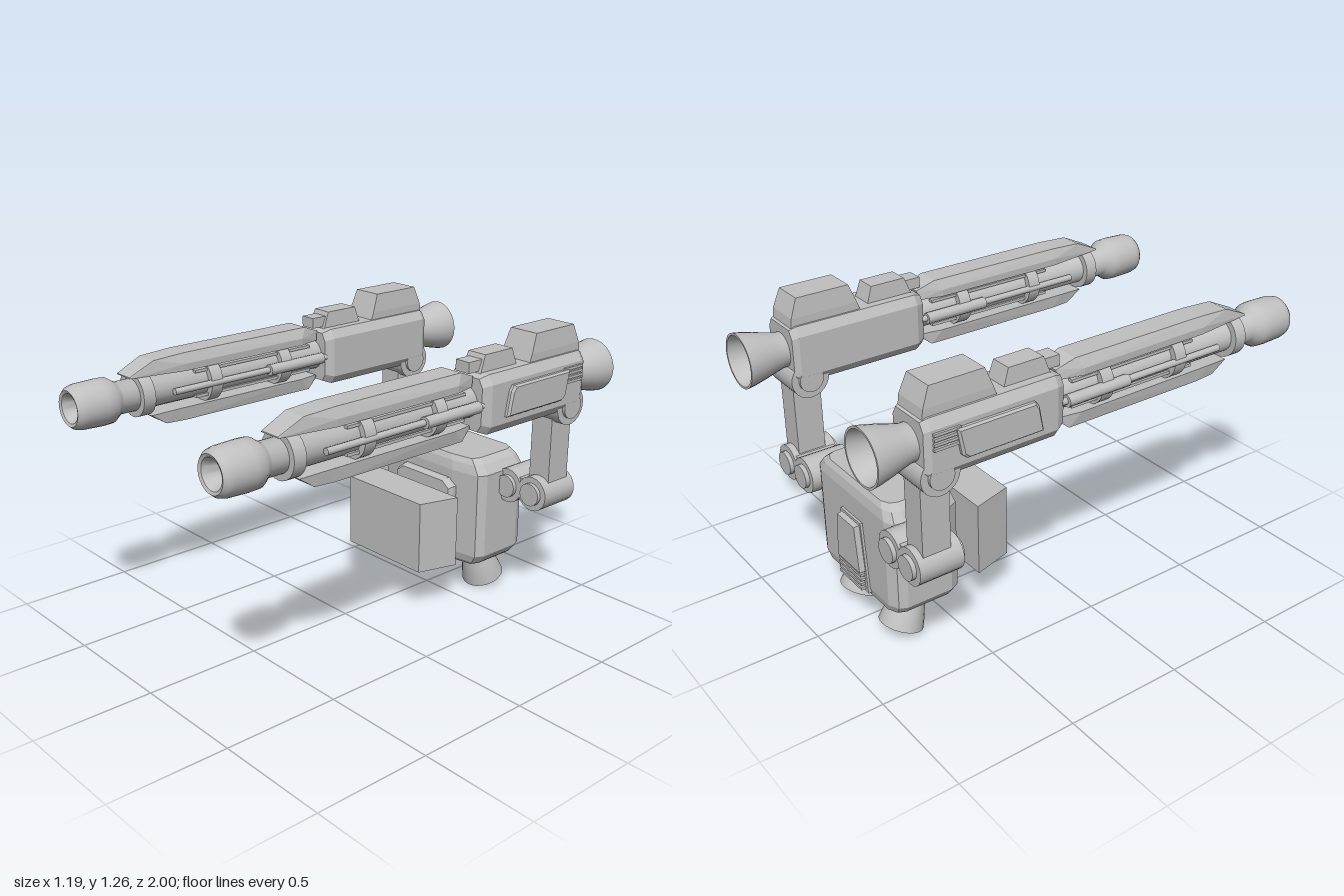
import * as THREE from 'three';
import { ConvexGeometry } from 'three/addons/geometries/ConvexGeometry.js';
import { toCreasedNormals } from 'three/addons/utils/BufferGeometryUtils.js';

const AXIS_Y = 1.046; // height of the gun axis
const GUN_X = 0.465;

export function createModel() {
  const model = new THREE.Group();
  const grey = new THREE.MeshStandardMaterial({ color: 0xc0c0c0 });
  grey.name = 'plain grey';

  function add(parent, name, geo, x = 0, y = 0, z = 0) {
    const mesh = new THREE.Mesh(geo, grey);
    mesh.name = name;
    mesh.position.set(x, y, z);
    parent.add(mesh);
    return mesh;
  }
  const box = (w, h, d) => new THREE.BoxGeometry(w, h, d);
  const hull = (pts) => new ConvexGeometry(pts.map((p) => new THREE.Vector3(...p)));
  // hull of points mirrored across x = 0
  const mirrorHull = (pts) => hull(pts.flatMap(([x, y, z]) => [[x, y, z], [-x, y, z]]));
  // turned part: profile of [radius, height]
  const turned = (pts, seg = 28) =>
    toCreasedNormals(new THREE.LatheGeometry(pts.map((p) => new THREE.Vector2(...p)), seg), 0.6);
  const cylZ = (r, len, seg = 24) => new THREE.CylinderGeometry(r, r, len, seg).rotateX(Math.PI / 2);
  const cylX = (r, len, seg = 24) => new THREE.CylinderGeometry(r, r, len, seg).rotateZ(Math.PI / 2);

  // ---- backpack ----
  const pack = new THREE.Group();
  pack.name = 'backpack';
  model.add(pack);
  const outline = [[0.24, -0.805], [0.285, -0.785], [0.3, -0.75], [0.3, -0.55], [0.28, -0.51], [0.15, -0.49]];
  const levels = [[0.17, 0.86, 0.88], [0.185, 0.92, 0.95], [0.22, 1, 1], [0.6, 1, 1], [0.64, 0.9, 0.95], [0.663, 0.8, 0.87]];
  add(pack, 'packBody', mirrorHull(levels.flatMap(([y, sx, sz]) =>
    outline.map(([x, z]) => [x * sx, y, -0.648 + (z + 0.648) * sz]))));

  const panel = [[0.13, 0.56], [0.17, 0.53], [0.17, 0.21], [0.13, 0.18]];
  add(pack, 'frontPanel', mirrorHull(panel.flatMap(([x, y]) =>
    [[x, y, -0.52], [x, y, -0.475], [x * 0.94, 0.37 + (y - 0.37) * 0.95, -0.455]])));

  // rear hatch with a louvred lower end
  add(pack, 'hatchFrame', mirrorHull([0.2, 0.51].flatMap((y) => {
    const x = y < 0.3 ? 0.105 : 0.075;
    return [[x, y, -0.78], [x, y, -0.815]];
  })));
  add(pack, 'hatchCover', mirrorHull([[0.092, 0.3], [0.068, 0.5]].flatMap(([x, y]) =>
    [[x, y, -0.8], [x * 0.93, y - 0.005, -0.838]])));
  for (let i = 0; i < 4; i++) add(pack, 'louvre', box(0.17, 0.012, 0.025), 0, 0.217 + i * 0.021, -0.822);

  // thruster bells, tilted backwards
  const bell = [[0, 0], [0.05, 0], [0.06, 0.045], [0.073, 0.09], [0.085, 0.14], [0.093, 0.185],
    [0.086, 0.185], [0.068, 0.11], [0.04, 0.06], [0, 0.05]];
  for (const s of [1, -1]) {
    add(pack, 'thruster', turned(bell).rotateX(Math.PI + 0.36), s * 0.155, 0.215, -0.64);
  }

  // separate block in front of the pack
  add(model, 'frontBlock', mirrorHull([0.215, 0.53].flatMap((y) => [[0.27, y, -0.4], [0.22, y, -0.225]])));

  // ---- arms ----
  function addArm(s) {
    const arm = new THREE.Group();
    arm.name = s > 0 ? 'leftArm' : 'rightArm';
    model.add(arm);
    for (const x of [0.33, GUN_X]) {
      add(arm, 'shoulderJoint', cylZ(0.076, 0.19, 20), s * x, 0.54, -0.742);
      add(arm, 'shoulderPin', cylZ(0.05, 0.226, 20), s * x, 0.54, -0.742);
    }
    add(arm, 'shoulderLink', box(0.14, 0.1, 0.17), s * 0.395, 0.54, -0.742);
    add(arm, 'strut', box(0.105, 0.4, 0.12), s * GUN_X, 0.72, -0.75);
    add(arm, 'gunJoint', cylX(0.082, 0.19), s * GUN_X, 0.935, -0.75);
    add(arm, 'gunPin', cylX(0.052, 0.215), s * GUN_X, 0.935, -0.75);
  }

  // ---- guns, built around their own axis ----
  const barrel = [[0, -0.25], [0.066, -0.25], [0.066, 0.79], [0.075, 0.805], [0.092, 0.83], [0.094, 0.87],
    [0.091, 0.96], [0.085, 0.985], [0.072, 1], [0.06, 0.995], [0.048, 0.97], [0.038, 0.92], [0.036, 0.82], [0, 0.82]];
  const exhaust = [[0, 0.78], [0.072, 0.78], [0.072, 0.83], [0.082, 0.87], [0.096, 0.92], [0.108, 0.97], [0.113, 1],
    [0.104, 1], [0.088, 0.94], [0.065, 0.88], [0.045, 0.85], [0, 0.85]];
  // receiver cross-section
  const section = [[0.085, 0.118], [0.108, 0.08], [0.108, -0.09], [0.085, -0.125]];

  function addGun(s) {
    const gun = new THREE.Group();
    gun.name = s > 0 ? 'leftGun' : 'rightGun';
    gun.position.set(s * GUN_X, AXIS_Y, 0);
    model.add(gun);

    add(gun, 'barrel', turned(barrel, 32).rotateX(Math.PI / 2));
    for (const z of [0.69, 0.365, 0]) add(gun, 'barrelBand', cylZ(0.092, 0.055, 28), 0, 0, z);
    add(gun, 'exhaust', turned(exhaust, 32).rotateX(-Math.PI / 2));

    // upper and lower shrouds
    add(gun, 'upperShroud', mirrorHull([
      [0.048, 0.08, 0.75], [0.045, 0.085, 0.75], [0.066, 0.07, 0.5], [0.07, 0.07, -0.1], [0.045, 0.07, -0.2],
      [0.05, 0.135, 0.64], [0.052, 0.142, 0.5], [0.052, 0.142, -0.13], [0.038, 0.11, -0.21],
      [0.068, 0.1, 0.5], [0.072, 0.1, -0.1]]));
    add(gun, 'lowerShroud', mirrorHull([
      [0.045, -0.09, 0.66], [0.055, -0.085, 0.55], [0.06, -0.085, -0.1], [0.045, -0.085, -0.195],
      [0.045, -0.137, 0.59], [0.05, -0.14, 0.5], [0.05, -0.14, -0.15], [0.04, -0.1, -0.2]]));

    // rods along both sides
    for (const k of [1, -1]) {
      add(gun, 'sideRod', cylZ(0.014, 0.79, 12), k * 0.083, 0, 0.175);
      add(gun, 'rodSleeve', cylZ(0.024, 0.29, 12), k * 0.087, 0, -0.05);
      for (const y of [0.055, -0.05]) add(gun, 'sideStrip', box(0.02, 0.012, 0.6), k * 0.05, y, 0.15);
    }

    // receiver with tapered ends
    add(gun, 'receiver', mirrorHull(section.flatMap(([x, y]) =>
      [[x * 0.82, y * 0.88, -0.212], [x, y, -0.25], [x, y, -0.79], [x * 0.88, y * 0.9, -0.815]])));

    // housings on top
    add(gun, 'rearHousing', mirrorHull([
      [0.076, 0.11, -0.495], [0.076, 0.11, -0.805], [0.076, 0.15, -0.51], [0.076, 0.15, -0.8],
      [0.068, 0.228, -0.54], [0.068, 0.228, -0.77]]));
    add(gun, 'sightBase', mirrorHull([
      [0.05, 0.11, -0.24], [0.05, 0.11, -0.45], [0.045, 0.185, -0.27], [0.045, 0.185, -0.425]]));
    add(gun, 'sightNose', box(0.07, 0.045, 0.1), 0, 0.144, -0.24);

    // outer side plate and vent
    const plate = [[-0.062, -0.325], [0.04, -0.345], [0.062, -0.36], [0.062, -0.695], [-0.045, -0.675], [-0.062, -0.655]];
    add(gun, 'sidePlate', hull(plate.flatMap(([y, z]) =>
      [[s * 0.1, y, z], [s * 0.12, y, z], [s * 0.129, y * 0.88, -0.51 + (z + 0.51) * 0.95]])));
    for (let i = 0; i < 4; i++) add(gun, 'ventSlat', box(0.02, 0.011, 0.11), s * 0.108, 0.063 - i * 0.019, -0.73);
  }

  for (const s of [1, -1]) {
    addArm(s);
    addGun(s);
  }
  return model;
}
